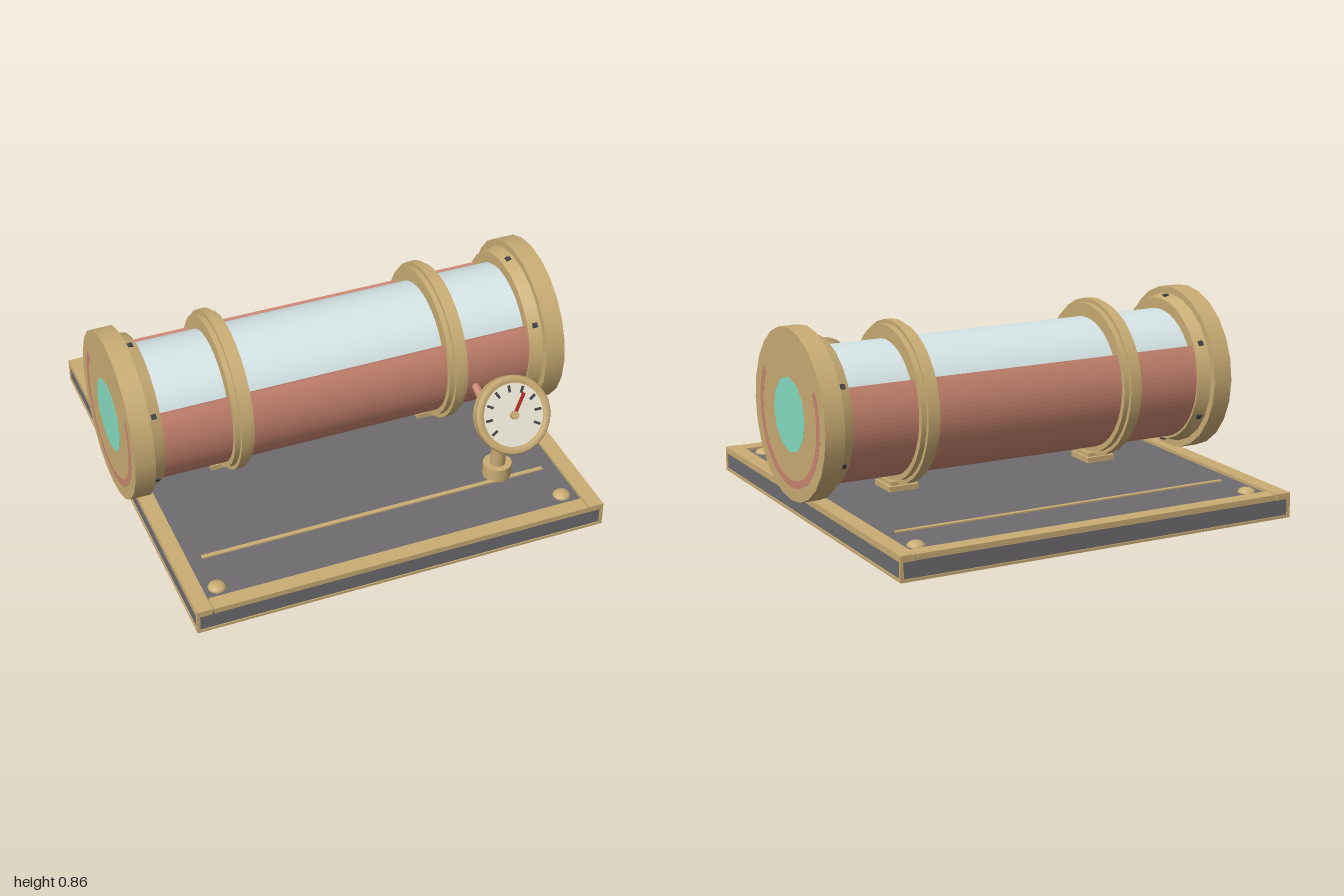
import * as THREE from 'three';

const mat = (color) => new THREE.MeshStandardMaterial({ color });
const brass = mat(0xc9ac74), copper = mat(0xc98570), slate = mat(0x6e6c6f), glass = mat(0xd5e4e5);
const teal = mat(0x86dcc2), dark = mat(0x444448), ivory = mat(0xe9e4d4), red = mat(0xb02a22);
const AXIS = 0.485; // height of the tube's axis

function add(parent, name, geometry, material, x = 0, y = 0, z = 0) {
  const mesh = new THREE.Mesh(geometry, material);
  mesh.name = name;
  mesh.position.set(x, y, z);
  parent.add(mesh);
  return mesh;
}
const box = (w, h, d) => new THREE.BoxGeometry(w, h, d);
// Cylinder lying along x; r1 is the radius at its +x end
const drum = (r1, r2, length, sides) => new THREE.CylinderGeometry(r2, r1, length, sides).rotateZ(Math.PI / 2);

function buildBase() {
  const base = new THREE.Group();
  base.name = 'base';
  add(base, 'plate', box(1.86, 0.095, 1.86), slate, 0, 0.0525, 0);
  for (const s of [-1, 1]) {
    // Top trim, lower edging and groove strips
    add(base, 'trimAlongX', box(1.72, 0.025, 0.07), brass, 0, 0.1, s * 0.9);
    add(base, 'trimAlongZ', box(0.07, 0.028, 1.87), brass, s * 0.9, 0.1, 0);
    add(base, 'edgingAlongX', box(1.87, 0.012, 0.012), brass, 0, 0.008, s * 0.929);
    add(base, 'edgingAlongZ', box(0.012, 0.012, 1.87), brass, s * 0.929, 0.008, 0);
    add(base, 'inlayStrip', box(1.6, 0.01, 0.02), brass, 0, 0.101, s * 0.605);
    for (const t of [-1, 1]) {
      add(base, 'cornerPost', box(0.014, 0.095, 0.014), brass, s * 0.928, 0.05, t * 0.928);
      const dome = add(base, 'cornerStud', new THREE.SphereGeometry(0.04, 16, 6, 0, Math.PI * 2, 0, Math.PI / 2),
        brass, s * 0.8, 0.098, t * 0.8);
      dome.scale.y = 0.6;
    }
  }
  return base;
}

function buildTube() {
  const tube = new THREE.Group();
  tube.name = 'tube';
  tube.position.y = AXIS;
  add(tube, 'glassCylinder', drum(0.28, 0.28, 1.9, 40), glass);
  add(tube, 'core', drum(0.165, 0.165, 2.002, 12), teal);

  // Copper cradle: 240 degree trough open at the top
  const a0 = Math.PI * 5 / 6, a1 = Math.PI * 13 / 6;
  const section = new THREE.Shape();
  section.absarc(0, 0, 0.318, a0, a1, false);
  section.absarc(0, 0, 0.285, a1, a0, true);
  const trough = new THREE.ExtrudeGeometry(section, { depth: 2.002, bevelEnabled: false, curveSegments: 32 });
  add(tube, 'copperCradle', trough.translate(0, 0, -1.001).rotateY(Math.PI / 2), copper);

  for (const s of [-1, 1]) {
    // End cap with tapered collar and six bolts
    add(tube, 'endCap', drum(0.377, 0.377, 0.09, 24), brass, s * 0.955, 0, 0);
    add(tube, 'capCollar', s > 0 ? drum(0.347, 0.33, 0.06, 24) : drum(0.33, 0.347, 0.06, 24), brass, s * 0.882, 0, 0);
    for (let i = 0; i < 6; i++) {
      const a = Math.PI / 6 + i * Math.PI / 3;
      const bolt = add(tube, 'capBolt', box(0.022, 0.022, 0.024), dark, s * 0.884, Math.sin(a) * 0.333, Math.cos(a) * 0.333);
      bolt.rotation.x = -a;
    }
    // Clamp ring with raised band, and its foot
    add(tube, 'clampRing', drum(0.343, 0.343, 0.088, 32), brass, s * 0.5, 0, 0);
    add(tube, 'clampBand', drum(0.36, 0.36, 0.04, 32), brass, s * 0.5, 0, 0);
    add(tube, 'clampFoot', box(0.14, 0.025, 0.15), brass, s * 0.5, 0.112 - AXIS, 0);
    add(tube, 'clampFootTop', box(0.115, 0.02, 0.12), brass, s * 0.5, 0.132 - AXIS, 0);
  }
  return tube;
}

function buildGauge() {
  const gauge = new THREE.Group();
  gauge.name = 'gauge';
  gauge.position.set(0.6, 0.505, 0.661);
  gauge.rotation.x = -Math.PI / 6;
  // Housing with a rolled rim and a recessed dial
  const profile = [[0, -0.032], [0.16, -0.032], [0.168, -0.024], [0.168, -0.004], [0.16, 0.002], [0.172, 0.008],
    [0.172, 0.026], [0.165, 0.033], [0.145, 0.033], [0.137, 0.022], [0, 0.022]].map(([r, y]) => new THREE.Vector2(r, y));
  add(gauge, 'gaugeHousing', new THREE.LatheGeometry(profile, 40).rotateX(Math.PI / 2), brass);
  add(gauge, 'dialFace', new THREE.CircleGeometry(0.138, 40), ivory, 0, 0, 0.025);
  for (let i = -4; i <= 4; i++) {
    const a = i * Math.PI / 6;
    const tick = add(gauge, 'dialTick', box(0.011, 0.03, 0.004), dark, Math.sin(a) * 0.115, Math.cos(a) * 0.115, 0.027);
    tick.rotation.z = -a;
  }
  const needle = add(gauge, 'needle', box(0.014, 0.11, 0.006), red, Math.sin(0.63) * 0.05, Math.cos(0.63) * 0.05, 0.033);
  needle.rotation.z = -0.63;
  add(gauge, 'needleHub', new THREE.CylinderGeometry(0.018, 0.018, 0.022, 16).rotateX(Math.PI / 2), brass, 0, 0, 0.035);
  return gauge;
}

export function createModel() {
  const model = new THREE.Group();
  model.name = 'tubeInstrument';
  model.add(buildBase(), buildTube(), buildGauge());

  // Gauge stand: foot and slightly leaning post
  add(model, 'postFoot', new THREE.CylinderGeometry(0.065, 0.065, 0.065, 12), brass, 0.6, 0.132, 0.56);
  const post = add(model, 'gaugePost', new THREE.CylinderGeometry(0.034, 0.034, 0.3, 16), brass, 0.6, 0.252, 0.567);
  post.rotation.x = 0.06;

  // Copper feed pipe with a rounded tip
  const pipe = new THREE.LineCurve3(new THREE.Vector3(0.6, 0.42, 0.28), new THREE.Vector3(0.6, 0.342, 0.485));
  add(model, 'feedPipe', new THREE.TubeGeometry(pipe, 1, 0.019, 12), copper);
  add(model, 'feedPipeTip', new THREE.SphereGeometry(0.019, 12, 8), copper, 0.6, 0.342, 0.485);
  return model;
}
